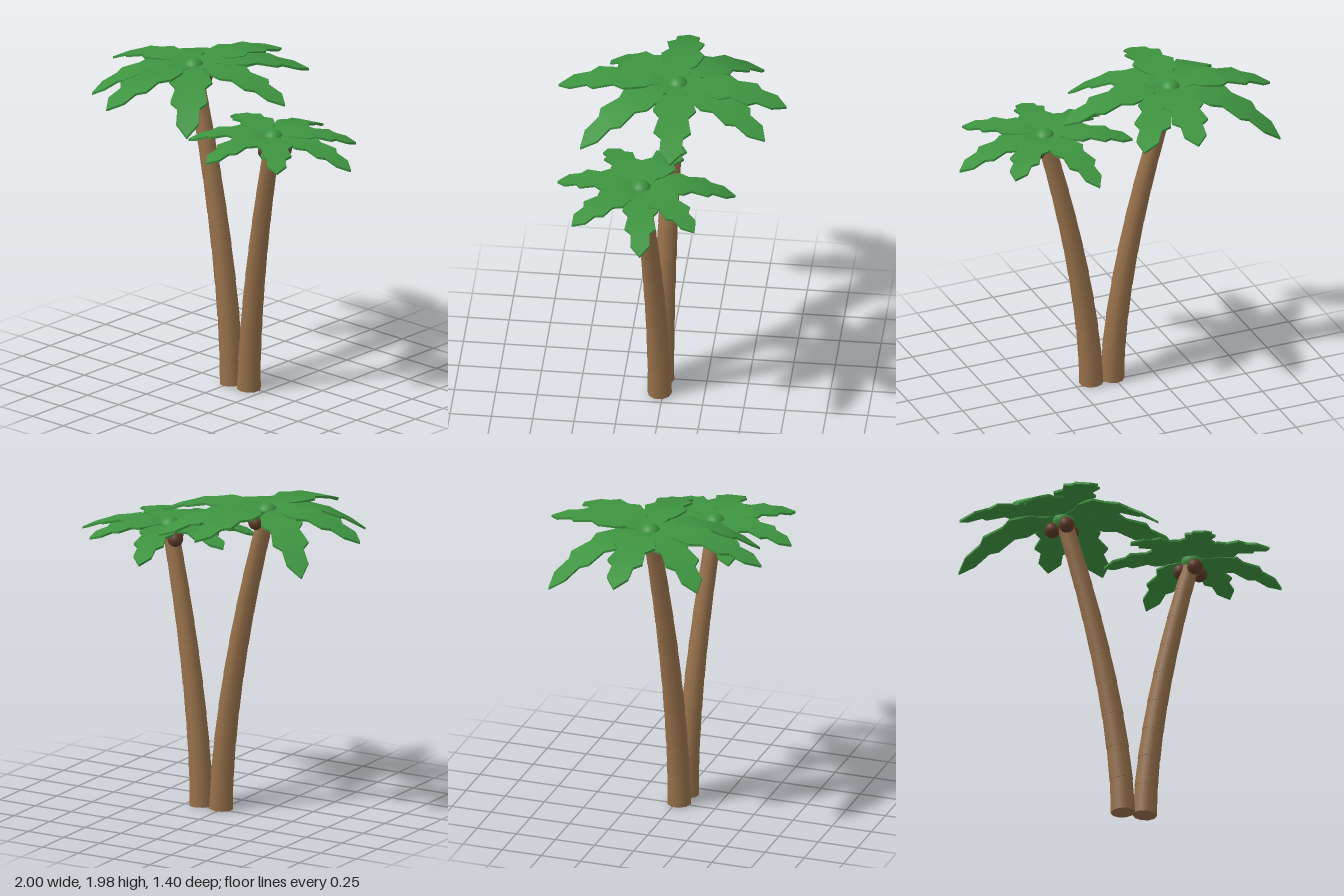
import * as THREE from 'three';
import { toCreasedNormals } from 'three/addons/utils/BufferGeometryUtils.js';

const mat = (name, color) => Object.assign(new THREE.MeshStandardMaterial({ color }), { name });

// Jagged leaf outline: [fraction of length, half width]
const LEAF = [[0, 0.04], [0.2, 0.062], [0.25, 0.095], [0.43, 0.13], [0.52, 0.088],
  [0.69, 0.112], [0.75, 0.067], [0.89, 0.068], [1, 0.003]];
const LEAF_THICKNESS = 0.014;

// Thin arched frond growing along +z, drooping below its root at the tip
function frondGeometry(length, widthScale, lift, drop) {
  const n = LEAF.length - 1;
  const geo = new THREE.BoxGeometry(1, LEAF_THICKNESS, 1, 2, 1, n);
  const p = geo.attributes.position;
  for (let i = 0; i < p.count; i++) {
    const [t, halfWidth] = LEAF[Math.round((p.getZ(i) + 0.5) * n)];
    const y = p.getY(i) + lift * t - (lift + drop) * t * t;
    p.setXYZ(i, p.getX(i) * 2 * halfWidth * widthScale, y, t * length);
  }
  return toCreasedNormals(geo, 0.6);
}

function createPalm(spec, mats) {
  const palm = new THREE.Group();
  palm.name = spec.name;
  const { base, top, hub } = spec;

  // Trunk: leaning tapered segments, each wider at its foot than the one below at its head
  const trunk = new THREE.Group();
  trunk.name = 'trunk';
  const count = 9;
  const up = new THREE.Vector3(0, 1, 0);
  const pointAt = (f) => {
    const bend = Math.pow(f, 1.6);
    return new THREE.Vector3(
      THREE.MathUtils.lerp(base[0], top[0], bend),
      THREE.MathUtils.lerp(base[1], top[1], f),
      THREE.MathUtils.lerp(base[2], top[2], bend));
  };
  for (let i = 0; i < count; i++) {
    const a = pointAt(i / count), b = pointAt((i + 1) / count);
    const dir = b.clone().sub(a);
    const foot = THREE.MathUtils.lerp(0.074, 0.05, i / count);
    const segment = new THREE.Mesh(
      new THREE.CylinderGeometry(foot * 0.92, foot, dir.length() + 0.006, 10), mats.bark);
    segment.position.copy(a).add(b).multiplyScalar(0.5);
    segment.quaternion.setFromUnitVectors(up, dir.normalize());
    segment.name = 'trunkSegment';
    trunk.add(segment);
  }
  palm.add(trunk);

  // Crown centre
  const crown = new THREE.Group();
  crown.name = 'crown';
  crown.position.set(...hub);
  const bud = new THREE.Mesh(new THREE.SphereGeometry(0.064, 16, 12), mats.leaf);
  bud.name = 'crownBud';
  crown.add(bud);

  // Fronds: [tip x, tip z, drop] relative to the crown
  for (const [x, z, drop] of spec.fronds) {
    const geo = frondGeometry(Math.hypot(x, z), spec.leafWidth, spec.lift, drop);
    const frond = new THREE.Mesh(geo, mats.leaf);
    frond.position.y = 0.014;
    frond.rotation.y = Math.atan2(x, z);
    frond.name = 'frond';
    crown.add(frond);
  }

  // Three coconuts under the crown
  for (let i = 0; i < 3; i++) {
    const a = (i * Math.PI * 2) / 3;
    const nut = new THREE.Mesh(new THREE.SphereGeometry(0.048, 14, 10), mats.nut);
    nut.position.set(Math.sin(a) * 0.067, -0.058, Math.cos(a) * 0.067);
    nut.name = 'coconut';
    crown.add(nut);
  }
  palm.add(crown);
  return palm;
}

export function createModel() {
  const mats = {
    bark: mat('bark brown', 0x96704a),
    leaf: mat('leaf green', 0x3e9440),
    nut: mat('coconut brown', 0x5f3a29),
  };
  const model = new THREE.Group();
  model.name = 'palmTrees';

  model.add(createPalm({
    name: 'tallPalm',
    base: [0.01, 0.004, 0.02], top: [-0.345, 1.91, -0.035], hub: [-0.348, 1.915, -0.037],
    leafWidth: 1, lift: 0.15,
    fronds: [
      [-0.652, -0.003, 0.105], [-0.517, -0.465, 0.23], [0.108, -0.668, 0.045],
      [0.42, -0.57, 0.075], [0.711, -0.027, 0.09], [0.43, 0.545, 0.21],
      [-0.053, 0.727, 0.1], [-0.42, 0.447, 0.16],
    ],
  }, mats));

  model.add(createPalm({
    name: 'shortPalm',
    base: [0.147, 0.004, 0.02], top: [0.415, 1.67, 0.103], hub: [0.417, 1.68, 0.102],
    leafWidth: 0.84, lift: 0.12,
    fronds: [
      [0.58, -0.052, 0.09], [0.348, -0.357, 0.05], [-0.117, -0.557, 0.1],
      [-0.49, -0.2, 0.03], [-0.46, 0.25, 0.06], [-0.08, 0.515, 0.05], [0.373, 0.38, 0.04],
    ],
  }, mats));

  return model;
}
